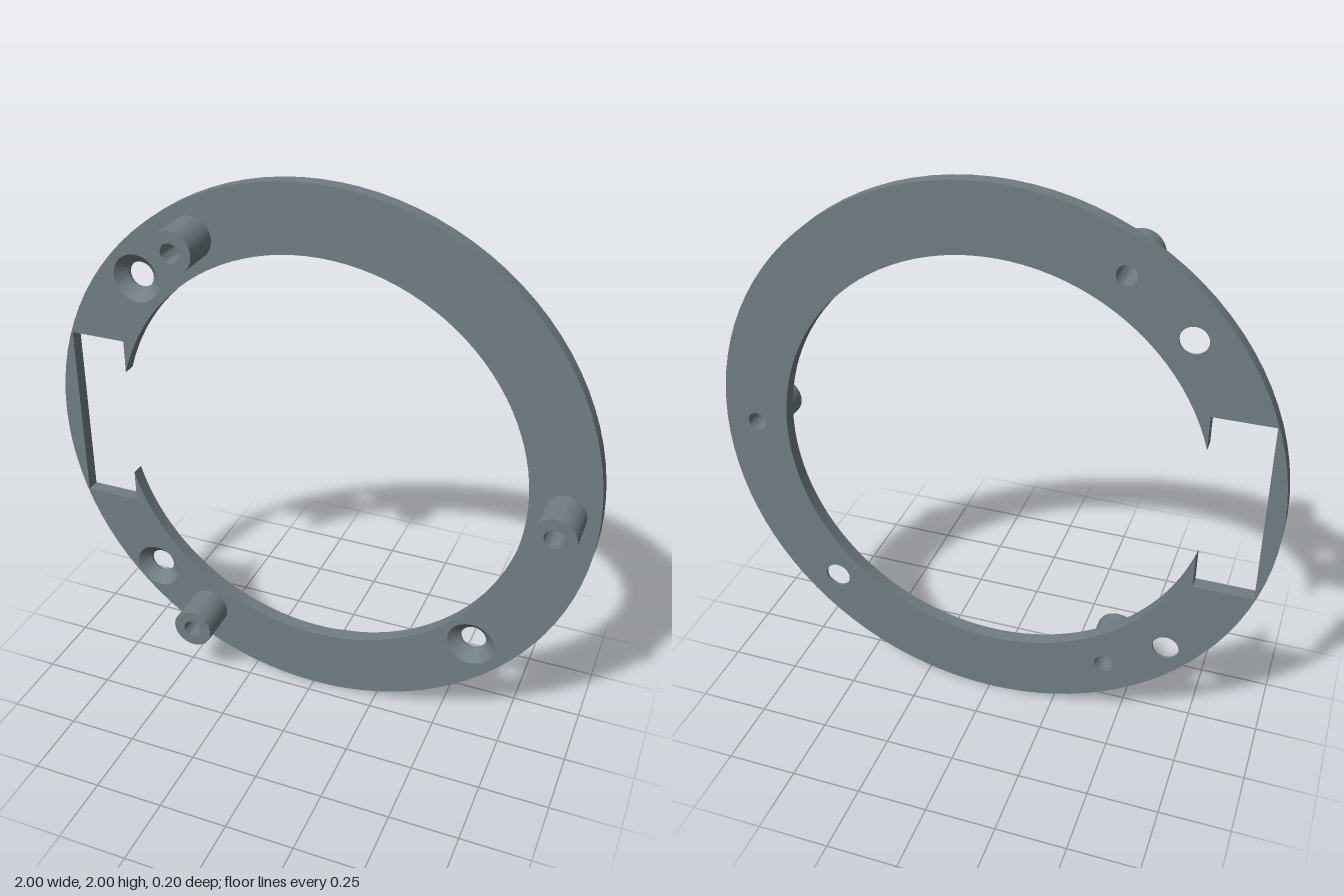
import * as THREE from 'three';
import { toCreasedNormals } from 'three/addons/utils/BufferGeometryUtils.js';

const BACK = -0.1, THICK = 0.05, FRONT = BACK + THICK, POST_TOP = 0.1;
const POST_R = 0.075, BORE_R = 0.034;
const SINK_R = 0.087, SCREW_R = 0.047, SINK_DEPTH = 0.04;

// positions relative to the ring centre
const posts = [0, 1, 2].map(i => {
  const a = i * Math.PI * 2 / 3;
  return [0.88 * Math.cos(a), 0.88 * Math.sin(a)];
});
const screws = [[-0.658, 0.583], [-0.658, -0.625], [0.607, -0.625]];

function circle(x, y, r) {
  return new THREE.Path().absarc(x, y, r, 0, Math.PI * 2, true);
}

// flat ring with a rectangular notch, post bores and countersunk screw holes
function plateGeometry() {
  const inner = 0.76, notchIn = -0.73, notchOut = -0.937, notchH = 0.333;
  const shape = new THREE.Shape().absarc(0, 0, 1, 0, Math.PI * 2, false);

  const a = Math.acos(notchIn / inner);
  const opening = new THREE.Path().absarc(0, 0, inner, -a, a, false);
  opening.lineTo(notchIn, notchH);
  opening.lineTo(notchOut, notchH);
  opening.lineTo(notchOut, -notchH);
  opening.lineTo(notchIn, -notchH);
  opening.closePath();
  shape.holes.push(opening);
  for (const [x, y] of posts) shape.holes.push(circle(x, y, BORE_R));
  for (const [x, y] of screws) shape.holes.push(circle(x, y, SINK_R));

  const geo = new THREE.ExtrudeGeometry(shape, {
    depth: THICK, steps: 2, bevelEnabled: false, curveSegments: 48,
  });

  // narrow the screw holes behind the front face to form the countersinks
  const p = geo.attributes.position;
  for (let i = 0; i < p.count; i++) {
    const z = p.getZ(i);
    if (z > THICK * 0.9) continue;
    for (const [x, y] of screws) {
      const dx = p.getX(i) - x, dy = p.getY(i) - y;
      if (Math.abs(Math.hypot(dx, dy) - SINK_R) > 0.0005) continue;
      const k = SCREW_R / SINK_R;
      p.setXYZ(i, x + dx * k, y + dy * k, z > THICK * 0.1 ? THICK - SINK_DEPTH : 0);
      break;
    }
  }
  geo.translate(0, 0, BACK);
  return toCreasedNormals(geo, 0.5);
}

// hollow standoff, open where it meets the plate
function postGeometry() {
  const profile = [
    [POST_R, FRONT], [POST_R, POST_TOP], [BORE_R, POST_TOP], [BORE_R, FRONT],
  ].map(([r, h]) => new THREE.Vector2(r, h));
  const geo = new THREE.LatheGeometry(profile, 48);
  geo.rotateX(Math.PI / 2);
  return toCreasedNormals(geo, 0.5);
}

export function createModel() {
  const slate = new THREE.MeshStandardMaterial({ color: 0x717e83 });
  slate.name = 'slate grey';

  const model = new THREE.Group();
  model.name = 'mountingRing';

  const plate = new THREE.Mesh(plateGeometry(), slate);
  plate.name = 'ringPlate';
  plate.position.y = 1;
  model.add(plate);

  const postGeo = postGeometry();
  posts.forEach(([x, y], i) => {
    const post = new THREE.Mesh(postGeo, slate);
    post.name = `standoff${i + 1}`;
    post.position.set(x, 1 + y, 0);
    model.add(post);
  });

  return model;
}
